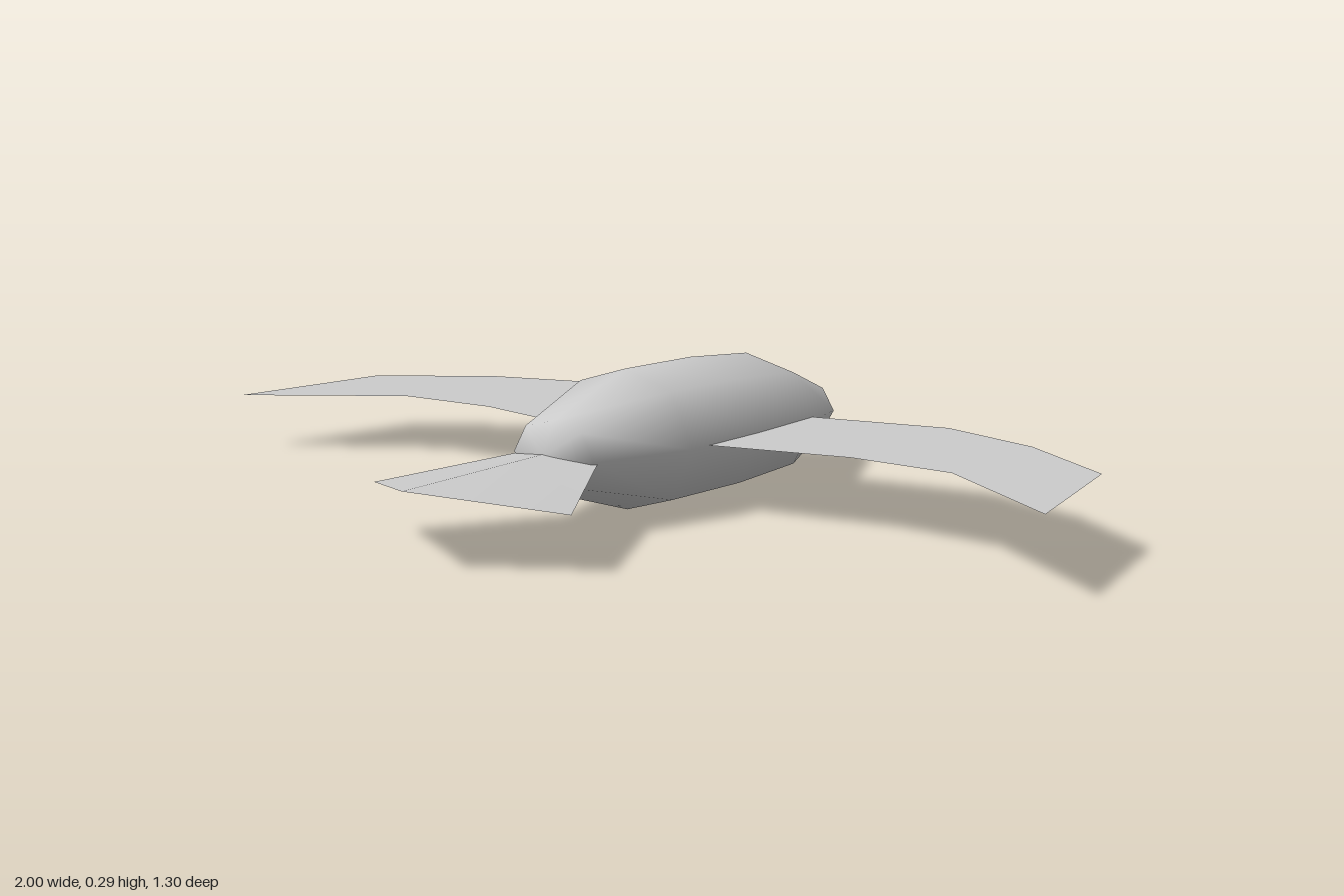
import * as THREE from 'three';
import { mergeVertices } from 'three/addons/utils/BufferGeometryUtils.js';

// Smooth surface from rows of points, each row having the same count
function loft(rows, closed) {
  const n = rows[0].length;
  const index = [];
  for (let i = 0; i < rows.length - 1; i++) {
    for (let k = 0; k < (closed ? n : n - 1); k++) {
      const k2 = (k + 1) % n;
      const a = i * n + k, b = i * n + k2, c = (i + 1) * n + k2, d = (i + 1) * n + k;
      index.push(a, b, c, a, c, d);
    }
  }
  const geometry = new THREE.BufferGeometry();
  geometry.setAttribute('position', new THREE.Float32BufferAttribute(rows.flat(2), 3));
  geometry.setIndex(index);
  const merged = mergeVertices(geometry);
  merged.computeVertexNormals();
  return merged;
}

export function createModel() {
  const plumage = new THREE.MeshStandardMaterial({ color: 0xcccccc, side: THREE.DoubleSide });
  plumage.name = 'plumage grey';

  const bird = new THREE.Group();
  bird.name = 'bird';
  const add = (name, geometry) => {
    const mesh = new THREE.Mesh(geometry, plumage);
    mesh.name = name;
    bird.add(mesh);
  };

  // Body: octagonal sections [z, half width, top, middle, bottom], beak to rump
  const sections = [
    [-0.655, 0, 0.12, 0.12, 0.12],
    [-0.575, 0.092, 0.18, 0.12, 0.06],
    [-0.39, 0.172, 0.262, 0.14, 0.01],
    [-0.2, 0.175, 0.281, 0.142, 0.002],
    [0.01, 0.165, 0.288, 0.145, 0.005],
    [0.23, 0.1, 0.22, 0.15, 0.077],
    [0.265, 0, 0.155, 0.155, 0.155],
  ];
  // Octagon corners, counterclockwise seen from the tail
  const corners = [[1, 0], [0.69, 0.76], [0, 1], [-0.69, 0.76],
    [-1, 0], [-0.69, -0.76], [0, -1], [0.69, -0.76]];
  add('body', loft(sections.map(([z, w, top, mid, bottom]) =>
    corners.map(([x, y]) => [x * w, mid + y * (y > 0 ? top - mid : mid - bottom), z])), true));

  // Wings: pairs of leading and trailing edge points [x, z], root to tip
  const ribs = [
    [[0.14, -0.382], [0.14, -0.035]],
    [[0.46, -0.445], [0.46, -0.1]],
    [[0.69, -0.38], [0.69, -0.092]],
    [[0.92, -0.24], [1, 0.1]],
  ];
  for (const side of [1, -1]) {
    const rows = ribs.map((rib) => {
      const row = rib.map(([x, z]) => [side * x, 0.145, z]);
      return side > 0 ? row : row.reverse();
    });
    add(side > 0 ? 'leftWing' : 'rightWing', loft(rows, false));
  }

  // Tail: ridged fan, two halves meeting on the centre line
  add('tail', loft([
    [[-0.1, 0.145, 0.22], [-0.245, 0.114, 0.47]],
    [[0, 0.16, 0.24], [0, 0.16, 0.65]],
    [[0.1, 0.145, 0.22], [0.245, 0.114, 0.47]],
  ].map((row) => row), false));

  // Slight bank about the long axis
  const roll = 0.022;
  bird.rotation.z = roll;
  bird.position.x = 0.145 * Math.sin(roll);
  const model = new THREE.Group();
  model.name = 'flyingBird';
  model.add(bird);
  return model;
}
